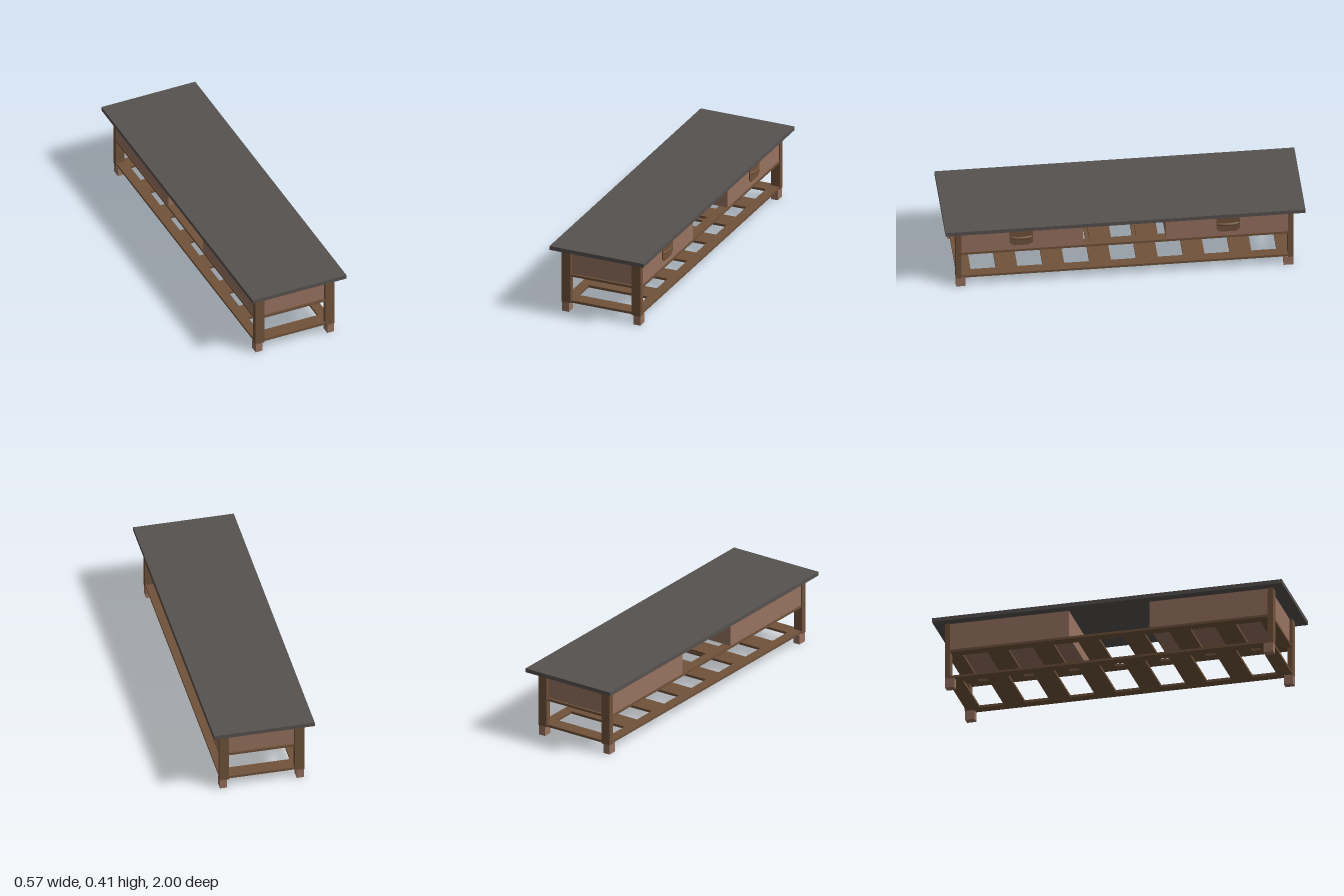
import * as THREE from 'three';

const material = (name, color) => {
  const m = new THREE.MeshStandardMaterial({ color });
  m.name = name;
  return m;
};

export function createModel() {
  const slate = material('dark slate', 0x565250);
  const wood = material('brown wood', 0x70523a);
  const lightWood = material('light wood', 0x977260);
  const model = new THREE.Group();
  model.name = 'lowTable';

  function add(name, geometry, mat, parent = model) {
    const mesh = new THREE.Mesh(geometry, mat);
    mesh.name = name;
    parent.add(mesh);
    return mesh;
  }

  // Box given by its limits along each axis
  function box(name, mat, [x0, x1], [y0, y1], [z0, z1]) {
    const mesh = add(name, new THREE.BoxGeometry(x1 - x0, y1 - y0, z1 - z0), mat);
    mesh.position.set((x0 + x1) / 2, (y0 + y1) / 2, (z0 + z1) / 2);
  }

  box('tableTop', slate, [-0.285, 0.285], [0.387, 0.41], [-1, 1]);

  // Legs, each on a lighter block foot
  for (const sx of [-1, 1]) {
    for (const sz of [-1, 1]) {
      const span = (s, a, b) => (s > 0 ? [a, b] : [-b, -a]);
      box('leg', wood, span(sx, 0.186, 0.24), [0.055, 0.387], span(sz, 0.908, 0.938));
      box('foot', lightWood, span(sx, 0.197, 0.238), [0, 0.055], span(sz, 0.884, 0.937));
    }
  }

  // Slatted shelves: one board with a row of rectangular openings
  const rectangle = (Type, x, z0, z1) => new Type([
    new THREE.Vector2(-x, z0), new THREE.Vector2(x, z0),
    new THREE.Vector2(x, z1), new THREE.Vector2(-x, z1),
  ]);
  const board = rectangle(THREE.Shape, 0.236, -0.932, 0.932);
  for (let i = -3; i <= 3; i++) {
    board.holes.push(rectangle(THREE.Path, 0.18, i * 0.26 - 0.07, i * 0.26 + 0.07));
  }
  const shelfGeometry = new THREE.ExtrudeGeometry(board, { depth: 0.014, bevelEnabled: false });
  shelfGeometry.rotateX(-Math.PI / 2);
  add('lowerShelf', shelfGeometry, wood).position.y = 0.057;
  add('upperShelf', shelfGeometry, wood).position.y = 0.215;

  // Eight-sided handle plate, facing +x
  const w = 0.065, h = 0.053, c = 0.02;
  const plate = new THREE.Shape([
    [-w + c, -h], [w - c, -h], [w, -h + c], [w, h - c],
    [w - c, h], [-w + c, h], [-w, h - c], [-w, -h + c],
  ].map(([x, y]) => new THREE.Vector2(x, y)));
  const plateGeometry = new THREE.ExtrudeGeometry(plate, { depth: 0.006, bevelEnabled: false });
  plateGeometry.rotateY(Math.PI / 2);

  // Bowed pull
  const bow = new THREE.CatmullRomCurve3([
    new THREE.Vector3(0.002, 0, -0.058), new THREE.Vector3(0.01, 0, -0.035),
    new THREE.Vector3(0.014, 0, 0),
    new THREE.Vector3(0.01, 0, 0.035), new THREE.Vector3(0.002, 0, 0.058),
  ]);
  const pullGeometry = new THREE.TubeGeometry(bow, 20, 0.008, 10);

  // Drawers, with handles on the +x side only
  for (const s of [-1, 1]) {
    box('drawer', lightWood, [-0.233, 0.233], [0.229, 0.387], s > 0 ? [0.23, 0.92] : [-0.92, -0.23]);
    const handle = new THREE.Group();
    handle.name = 'drawerHandle';
    handle.position.set(0.233, 0.313, s * 0.575);
    add('handlePlate', plateGeometry, wood, handle);
    add('handlePull', pullGeometry, wood, handle);
    model.add(handle);
  }
  return model;
}
